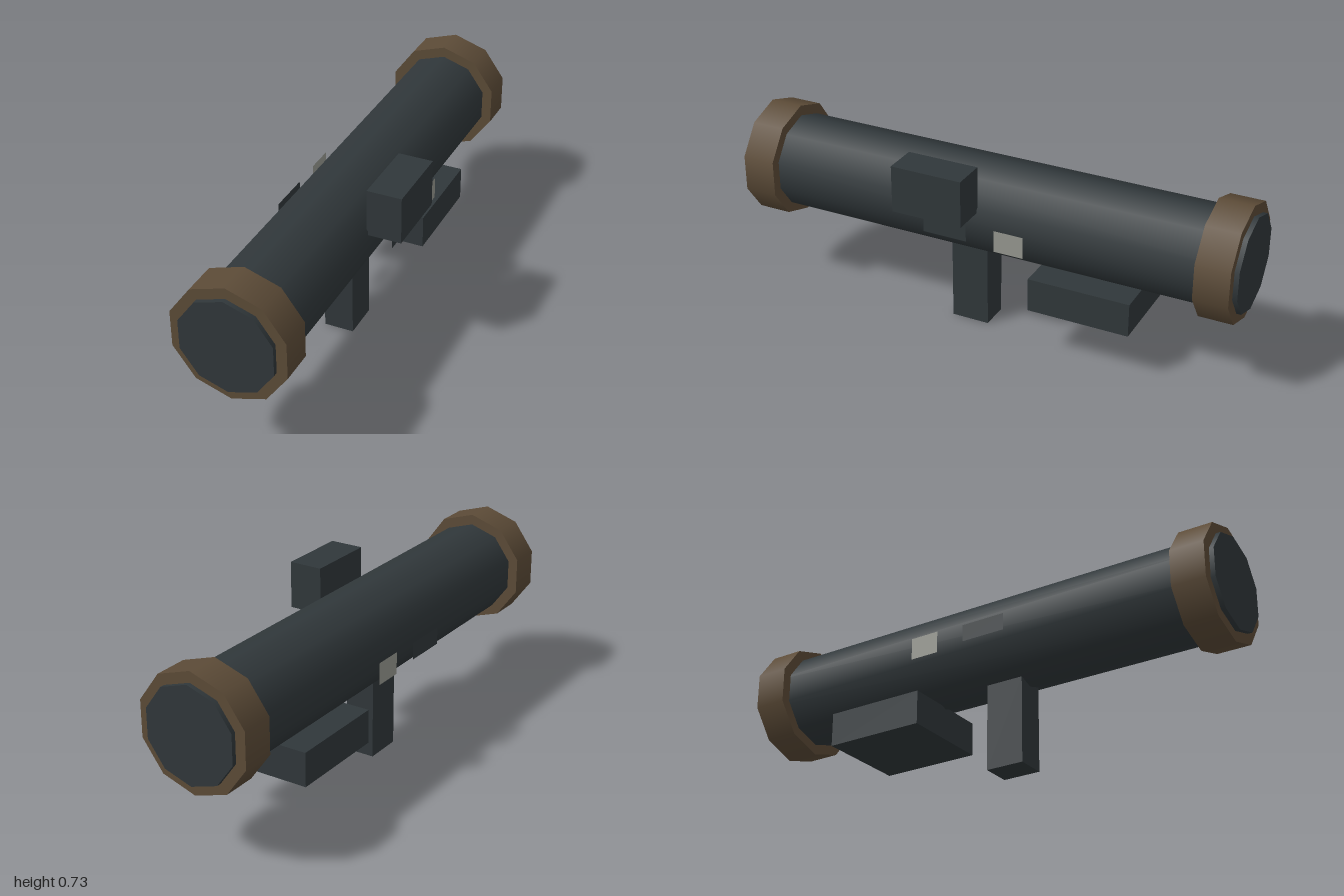
import * as THREE from 'three';

const AXIS_X = -0.036, AXIS_Y = 0.5;

export function createModel() {
  const model = new THREE.Group();
  const material = (color, side = THREE.FrontSide) => new THREE.MeshStandardMaterial({ color, side });
  const dark = material(0x30373a);
  const brown = material(0x5c4b37);
  const darkPanel = material(0x30373a, THREE.DoubleSide);
  const palePanel = material(0x96978f, THREE.DoubleSide);

  const add = (name, geometry, mat, x, y, z) => {
    const mesh = new THREE.Mesh(geometry, mat);
    mesh.name = name;
    mesh.position.set(x, y, z);
    model.add(mesh);
    return mesh;
  };

  // Ten-sided drum lying along z, with a corner at the top
  const drum = (name, radius, length, mat, z) =>
    add(name, new THREE.CylinderGeometry(radius, radius, length, 10).rotateX(Math.PI / 2), mat, AXIS_X, AXIS_Y, z);

  // Box given by its extents on each axis
  const box = (name, [x0, x1], [y0, y1], [z0, z1]) =>
    add(name, new THREE.BoxGeometry(x1 - x0, y1 - y0, z1 - z0), dark,
      (x0 + x1) / 2, (y0 + y1) / 2, (z0 + z1) / 2);

  // Main tube and its end collars
  drum('tube', 0.183, 2, dark, 0);
  drum('frontCollar', 0.224, 0.13, brown, 0.917);
  drum('rearCollar', 0.224, 0.13, brown, -0.917);

  // Grip, shoulder rest and sight
  box('grip', [-0.094, 0.022], [0, 0.337], [0.01, 0.16]);
  box('shoulderRest', [-0.22, 0.147], [0.193, 0.325], [-0.615, -0.217]);
  box('sight', [0.131, 0.264], [0.543, 0.725], [-0.005, 0.275]);

  // Thin panels floating beside the tube, mirrored on both sides
  for (const side of [-1, 1]) {
    const label = side > 0 ? 'left' : 'right';
    const panel = (name, width, height, mat, y, z) => {
      const mesh = add(label + name, new THREE.PlaneGeometry(width, height), mat, AXIS_X + side * 0.228, y, z);
      mesh.rotation.y = side * Math.PI / 2;
    };
    panel('PalePanel', 0.115, 0.085, palePanel, 0.476, -0.158);
    panel('DarkPanel', 0.175, 0.066, darkPanel, 0.48, 0.1);
  }

  return model;
}
